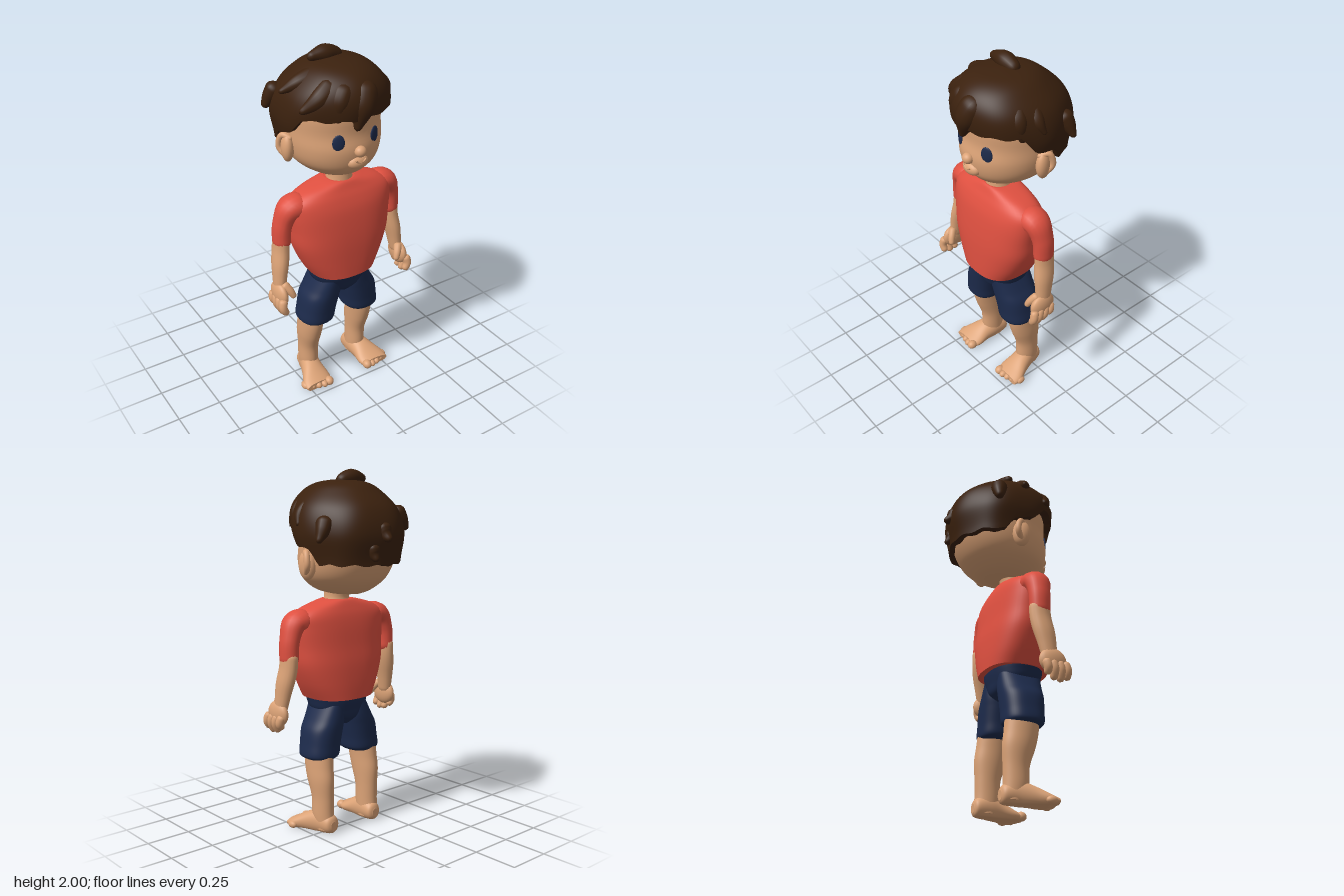
import * as THREE from 'three';
import { mergeVertices } from 'three/addons/utils/BufferGeometryUtils.js';

const mat = (name, color) => {
  const m = new THREE.MeshStandardMaterial({ color });
  m.name = name;
  return m;
};

// Catmull-Rom blend of equally spaced rows of numbers, t in 0..1
function at(rows, t) {
  const f = Math.min(Math.max(t, 0), 1) * (rows.length - 1);
  const i = Math.min(Math.floor(f), rows.length - 2), u = f - i;
  const p = (k) => rows[Math.min(Math.max(k, 0), rows.length - 1)];
  return rows[i].map((b, c) => {
    const a = p(i - 1)[c], d = p(i + 1)[c], e = p(i + 2)[c];
    return b + 0.5 * u * (d - a + u * (2 * a - 5 * b + 4 * d - e + u * (3 * (b - d) + e - a)));
  });
}

// Surface from closed rings, listed from bottom to top
function grid(rows, cols, fn) {
  const pos = [], idx = [];
  for (let i = 0; i < rows; i++) {
    for (let j = 0; j < cols; j++) {
      pos.push(...fn(i, (j / cols) * Math.PI * 2));
      if (i === rows - 1) continue;
      const a = i * cols + j, b = i * cols + ((j + 1) % cols);
      idx.push(a, b, b + cols, a, b + cols, a + cols);
    }
  }
  const g = new THREE.BufferGeometry();
  g.setAttribute('position', new THREE.Float32BufferAttribute(pos, 3));
  g.setIndex(idx);
  g.computeVertexNormals();
  return g;
}

// Loft of rings [y, x, z, rx, rz] with flat crisp caps; e squares the section
function loft(rings, e = 2, n = 36, cols = 48) {
  const pw = (v) => Math.sign(v) * Math.abs(v) ** (2 / e);
  return grid(n + 5, cols, (i, a) => {
    const [y, x, z, rx, rz] = at(rings, (i - 2) / n);
    const k = i === 0 || i === n + 4 ? 0 : 1;
    return [x + k * rx * pw(Math.sin(a)), y, z + k * rz * pw(Math.cos(a))];
  });
}

// Round-ended limb along a curve with changing radius, deepened in z by dz
function sweep(points, radii, dz = 1, seg = 32, sides = 16) {
  const curve = new THREE.CatmullRomCurve3(points.map((p) => new THREE.Vector3(...p)));
  let g = new THREE.TubeGeometry(curve, seg, 1, sides);
  const L = curve.getLength(), P = g.attributes.position, v = new THREE.Vector3();
  for (let i = 0; i <= seg; i++) {
    const u = i / seg, c = curve.getPointAt(u);
    let r = at(radii.map((q) => [q]), u)[0];
    const d = Math.min(1, (Math.min(u, 1 - u) * L) / r);
    r *= Math.sqrt(Math.max(0, 1 - (1 - d) ** 2));
    for (let j = 0; j <= sides; j++) {
      const k = i * (sides + 1) + j;
      v.fromBufferAttribute(P, k).sub(c).multiplyScalar(r);
      P.setXYZ(k, c.x + v.x, c.y + v.y, c.z + v.z * dz);
    }
  }
  g.deleteAttribute('uv');
  g.deleteAttribute('normal');
  g = mergeVertices(g, 1e-5);
  g.computeVertexNormals();
  return g;
}

const ball = (x, y, z, rx, ry, rz, ry0 = 0) =>
  new THREE.SphereGeometry(1, 24, 16).scale(rx, ry, rz).rotateY(ry0).translate(x, y, z);

// Height of the hairline around the head, angle from the front in degrees
function hairline(deg) {
  const k = [[0, 1.7], [60, 1.7], [72, 1.605], [95, 1.58], [104, 1.505], [180, 1.5]];
  const i = Math.max(1, k.findIndex((q) => q[0] >= deg));
  const [a, b] = [k[i - 1], k[i]];
  return a[1] + ((b[1] - a[1]) * (deg - a[0])) / (b[0] - a[0]);
}

export function createModel() {
  const model = new THREE.Group();
  const skin = mat('skin', 0xdca377), red = mat('shirt red', 0xdf5040);
  const navy = mat('navy', 0x1d2b4c), brown = mat('hair brown', 0x3b210e);
  const add = (name, g, m) => {
    const mesh = new THREE.Mesh(g, m);
    mesh.name = name;
    model.add(mesh);
  };

  // Head, neck and face
  add('head', loft([
    [1.335, 0, 0.02, 0.08, 0.1], [1.355, 0, 0.035, 0.14, 0.165], [1.4, 0, 0.03, 0.205, 0.22],
    [1.45, 0, 0.022, 0.24, 0.25], [1.52, 0, 0.01, 0.258, 0.27], [1.6, 0, -0.005, 0.263, 0.272],
    [1.7, 0, 0, 0.262, 0.27], [1.8, 0, 0.015, 0.23, 0.235], [1.88, 0, 0.03, 0.1, 0.12],
  ]), skin);
  add('neck', loft([[1.25, 0, 0.085, 0.085, 0.08], [1.31, 0, 0.09, 0.07, 0.07], [1.38, 0, 0.08, 0.07, 0.075]]), skin);
  add('nose', ball(0, 1.515, 0.285, 0.032, 0.03, 0.03), skin);
  add('muzzle', ball(0, 1.45, 0.262, 0.06, 0.038, 0.036), skin);
  add('smile', new THREE.TorusGeometry(0.035, 0.005, 8, 20, 2).rotateZ(-Math.PI / 2 - 1)
    .translate(0, 1.492, 0.293), skin);

  // Hair cap with an irregular lower edge
  const dome = [ // x radius, front z, back z from crown to nape
    [0, 0.05, 0.05], [0.13, 0.19, -0.1], [0.215, 0.28, -0.19],
    [0.285, 0.32, -0.275], [0.308, 0.305, -0.31], [0.28, 0.25, -0.285],
  ];
  add('hairCap', grid(44, 96, (i, a) => {
    const deg = 180 - Math.abs(180 - (a * 180) / Math.PI);
    const edge = hairline(deg) + 0.006 * Math.sin(a * 13);
    const q = Math.sqrt((1.945 - edge) / 0.445) * (1 - Math.max(0, i - 2) / 41);
    const [rx, f, b] = at(dome, q);
    const k = (i === 0 ? 0.8 : 1) * (1 + 0.014 * q * Math.sin(a * 7 + 4 * q));
    return [k * rx * Math.sin(a), 1.945 - 0.445 * q * q, (f + b) / 2 + (k * (f - b) * Math.cos(a)) / 2];
  }), brown);

  // Hair locks
  const locks = [
    [[[0.06, 1.93, 0.01], [-0.03, 1.952, 0.01], [-0.14, 1.95, 0.015]], [0.03, 0.046, 0.02]],
    [[[0.05, 1.87, 0.23], [0.01, 1.76, 0.28], [-0.03, 1.635, 0.295]], [0.07, 0.066, 0.016]],
    [[[-0.04, 1.87, 0.22], [-0.1, 1.78, 0.245], [-0.12, 1.685, 0.26]], [0.06, 0.06, 0.02]],
    [[[-0.08, 1.87, 0.17], [-0.18, 1.8, 0.19], [-0.28, 1.74, 0.165]], [0.06, 0.055, 0.015]],
    [[[-0.1, 1.87, 0.06], [-0.22, 1.845, 0.05], [-0.31, 1.805, 0.02]], [0.06, 0.045, 0.012]],
    [[[0.1, 1.85, 0.19], [0.14, 1.77, 0.22], [0.15, 1.69, 0.235]], [0.05, 0.055, 0.02]],
    [[[0.14, 1.85, 0.1], [0.22, 1.77, 0.14], [0.245, 1.66, 0.13]], [0.05, 0.05, 0.015]],
    [[[0.18, 1.83, 0.04], [0.27, 1.76, 0.06], [0.305, 1.7, 0.04]], [0.05, 0.04, 0.012]],
    [[[0, 1.72, -0.26], [0, 1.66, -0.295], [0, 1.63, -0.34]], [0.05, 0.04, 0.016]],
    [[[0.06, 1.62, -0.26], [0.06, 1.56, -0.275], [0.06, 1.525, -0.305]], [0.04, 0.035, 0.014]],
    [[[0.24, 1.75, -0.11], [0.28, 1.68, -0.13], [0.32, 1.62, -0.14]], [0.05, 0.04, 0.014]],
    [[[-0.24, 1.8, -0.11], [-0.28, 1.73, -0.13], [-0.31, 1.67, -0.14]], [0.05, 0.04, 0.02]],
  ];
  locks.forEach(([p, r], i) => add('hairLock' + (i + 1), sweep(p, r), brown));

  // Shirt body
  add('shirtBody', loft([
    [0.755, 0, 0.088, 0.19, 0.175], [0.84, 0, 0.088, 0.237, 0.175], [0.95, 0, 0.09, 0.28, 0.17],
    [1.05, 0, 0.093, 0.293, 0.158], [1.15, 0, 0.092, 0.305, 0.143], [1.215, 0, 0.088, 0.3, 0.125],
    [1.26, 0, 0.085, 0.235, 0.105], [1.29, 0, 0.085, 0.13, 0.09], [1.3, 0, 0.085, 0.08, 0.08],
  ], 2.5), red);

  // Shorts waist
  add('shortsWaist', loft([
    [0.6, 0, 0.08, 0.03, 0.08], [0.64, 0, 0.08, 0.11, 0.115], [0.69, 0, 0.085, 0.16, 0.13],
    [0.74, 0, 0.09, 0.178, 0.143], [0.79, 0, 0.09, 0.19, 0.145],
  ], 2.3), navy);

  // Paired parts: s = 1 is the model's left
  for (const [s, side] of [[1, 'left'], [-1, 'right']]) {
    const X = (pts) => pts.map(([x, y, z]) => [s * x, y, z]);
    const rings = (r) => r.map(([y, x, z, rx, rz]) => [y, s * x, z, rx, rz]);

    add(side + 'Eye', ball(s * 0.107, 1.57, 0.248, 0.032, 0.046, 0.009, s * 0.4), navy);
    add(side + 'Ear', ball(s * 0.265, 1.5, 0.015, 0.035, 0.08, 0.05, s * 0.35), skin);
    add(side + 'EarRim', sweep(X([[0.255, 1.55, 0.05], [0.285, 1.565, 0.0], [0.295, 1.5, -0.02], [0.265, 1.435, 0.03]]),
      [0.015, 0.017, 0.017, 0.015]), skin);

    // Sleeve, arm and hand
    add(side + 'Sleeve', sweep(X([[0.2, 1.19, 0.085], [0.3, 1.185, 0.083], [0.342, 1.1, 0.075], [0.35, 0.955, 0.072]]),
      [0.07, 0.066, 0.053, 0.049, 0.049], 1.2), red);
    add(side + 'Arm', sweep(X([[0.35, 1.05, 0.07], [0.356, 0.95, 0.072], [0.374, 0.84, 0.088], [0.39, 0.7, 0.105]]),
      [0.042, 0.043, 0.043, 0.036, 0.03], 1.4), skin);
    add(side + 'Palm', ball(s * 0.395, 0.7, 0.115, 0.034, 0.07, 0.078), skin);
    for (let f = 0; f < 4; f++) {
      const z = 0.065 + f * 0.037, tip = [0.62, 0.595, 0.59, 0.605][f];
      add(side + 'Finger' + (f + 1), sweep(X([[0.405, 0.7, z], [0.415, 0.65, z + 0.012], [0.392, tip, z + 0.014]]),
        [0.024, 0.023, 0.019], 1, 16, 12), skin);
    }
    add(side + 'Thumb', sweep(X([[0.385, 0.77, 0.13], [0.355, 0.725, 0.165], [0.337, 0.685, 0.18]]),
      [0.025, 0.022, 0.015], 1, 16, 12), skin);

    // Shorts leg and bare leg
    add(side + 'ShortsLeg', loft(rings([
      [0.42, 0.147, 0.07, 0.085, 0.095], [0.44, 0.147, 0.07, 0.103, 0.11], [0.5, 0.138, 0.072, 0.104, 0.113],
      [0.58, 0.122, 0.075, 0.105, 0.118], [0.64, 0.1, 0.078, 0.093, 0.12], [0.72, 0.08, 0.085, 0.07, 0.12],
    ]), 2.4), navy);
    add(side + 'Leg', loft(rings([
      [0.02, 0.162, 0.01, 0.05, 0.07], [0.1, 0.165, 0.018, 0.054, 0.07], [0.2, 0.165, 0.02, 0.055, 0.072],
      [0.3, 0.167, 0.035, 0.063, 0.09], [0.38, 0.165, 0.05, 0.066, 0.095], [0.47, 0.16, 0.06, 0.07, 0.095],
    ])), skin);

    // Foot: rings run from heel to toes, flattened at the sole
    const foot = loft([
      [-0.068, s * 0.158, -0.045, 0.02, 0.025], [-0.05, s * 0.158, -0.05, 0.045, 0.05],
      [0.02, s * 0.165, -0.055, 0.057, 0.07], [0.09, s * 0.18, -0.045, 0.068, 0.062],
      [0.16, s * 0.194, -0.028, 0.087, 0.042], [0.205, s * 0.2, -0.022, 0.08, 0.026],
    ]).rotateX(Math.PI / 2);
    const P = foot.attributes.position;
    for (let i = 0; i < P.count; i++) P.setY(i, Math.max(0.004, P.getY(i)));
    foot.computeVertexNormals();
    add(side + 'Foot', foot, skin);
    for (let t = 0; t < 5; t++) {
      const r = t === 0 ? 0.026 : 0.021;
      add(side + 'Toe' + (t + 1), ball(s * (0.136 + t * 0.034), r, 0.205 - 0.004 * t * t * 0.7, r, r, 0.03), skin);
    }
  }
  return model;
}
